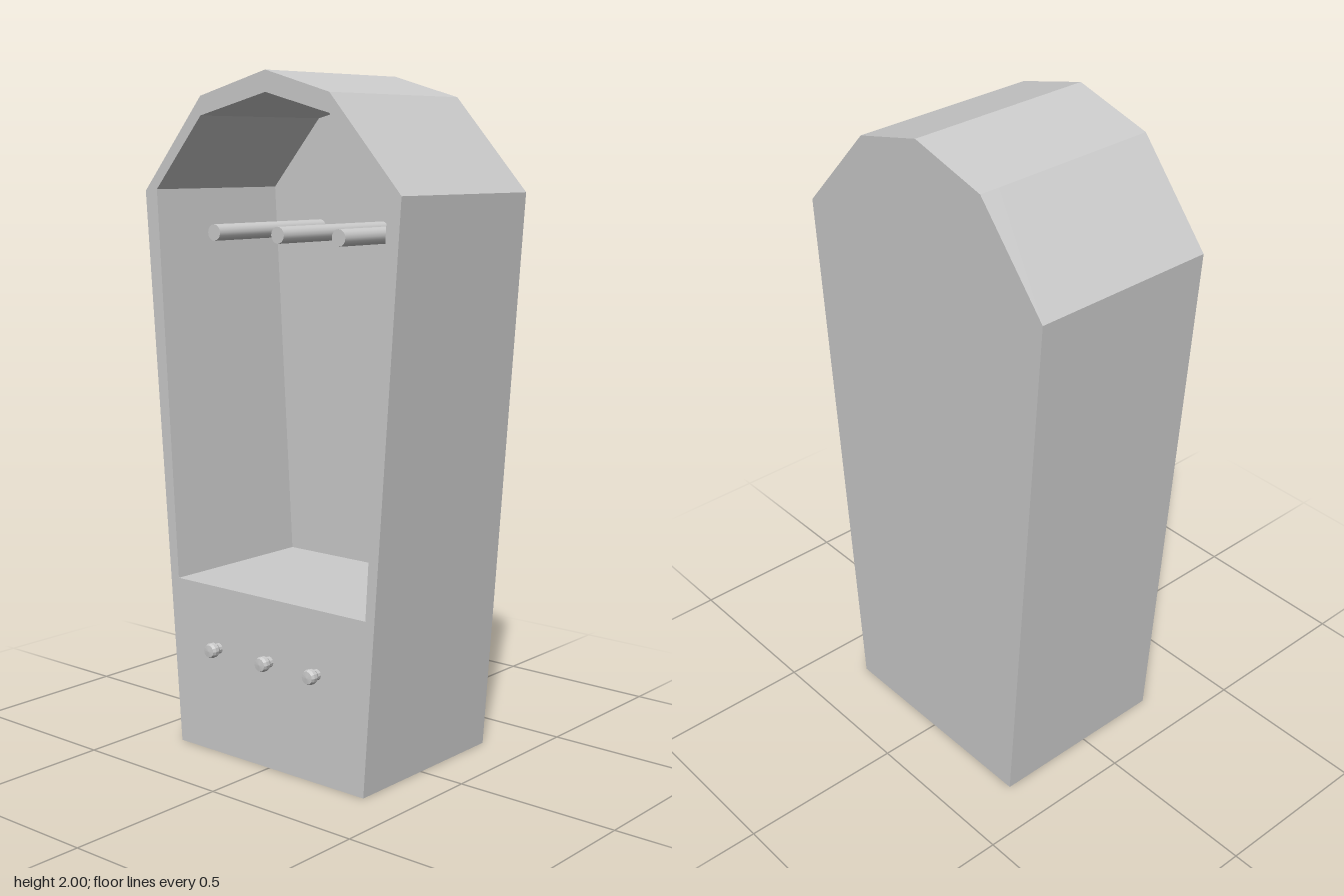
import * as THREE from 'three';

const BACK = -0.31, WALL = -0.25, FRONT = 0.265;

export function createModel() {
  const group = new THREE.Group();
  const flat = new THREE.MeshStandardMaterial({ color: 0xcccccc, flatShading: true });
  const smooth = new THREE.MeshStandardMaterial({ color: 0xcccccc });

  const add = (name, geometry, material, x, y, z) => {
    const mesh = new THREE.Mesh(geometry, material);
    mesh.name = name;
    mesh.position.set(x, y, z);
    group.add(mesh);
  };
  const points = (list) => list.map(([x, y]) => new THREE.Vector2(x, y));
  const extrude = (shape, depth) => new THREE.ExtrudeGeometry(shape, { depth, bevelEnabled: false });

  // Tapered outline with a faceted arch, and the opening inside it
  const outer = points([[-0.36, 0], [0.355, 0], [0.475, 1.665], [0.23, 1.935], [0, 2], [-0.25, 1.935], [-0.48, 1.665]]);
  const inner = points([[-0.365, 0.51], [0.36, 0.51], [0.43, 1.67], [0.23, 1.88], [0, 1.94], [-0.25, 1.88], [-0.433, 1.67]]);

  // Cabinet shell: open-fronted body and solid back
  const body = new THREE.Shape(outer);
  body.holes.push(new THREE.Path(inner));
  add('cabinetBody', extrude(body, FRONT - WALL), flat, 0, 0, WALL);
  add('backPanel', extrude(new THREE.Shape(outer), WALL - BACK), flat, 0, 0, BACK);

  // Hanging rods reaching forward from the back wall
  const rod = new THREE.CylinderGeometry(0.024, 0.024, 0.48, 16).rotateX(Math.PI / 2);
  for (const x of [-0.245, 0.002, 0.225]) add('hangingRod', rod, smooth, x, 1.548, -0.02);

  // Small flared knobs on the lower front
  const knob = new THREE.LatheGeometry(
    points([[0.016, -0.01], [0.016, 0.012], [0.022, 0.021], [0.0225, 0.034], [0.019, 0.043], [0, 0.045]]), 12
  ).rotateX(Math.PI / 2);
  for (const x of [-0.2, 0.003, 0.184]) add('knob', knob, flat, x, 0.323, FRONT);

  return group;
}
